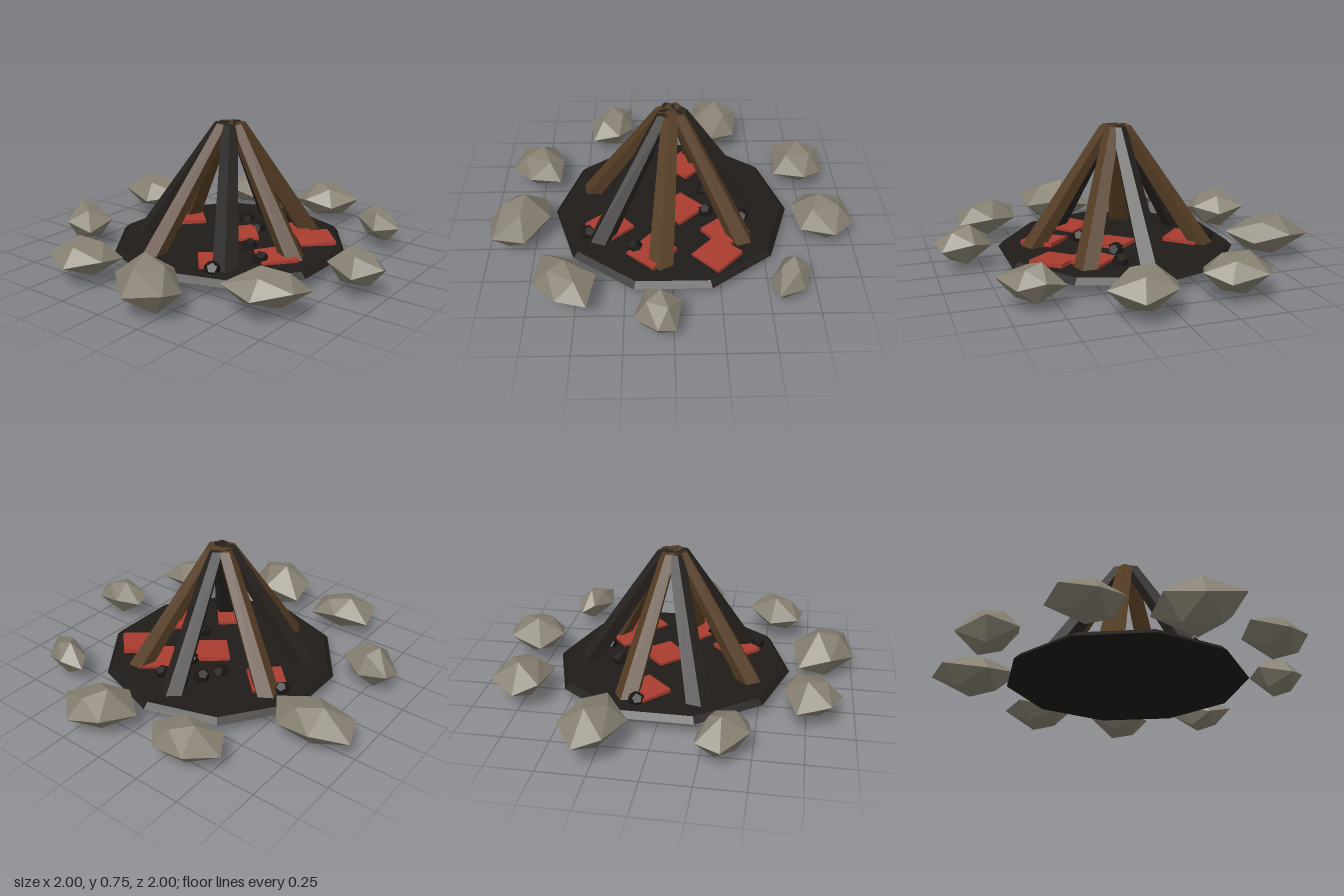
import * as THREE from 'three';
import { ConvexGeometry } from 'three/addons/geometries/ConvexGeometry.js';

const mat = (color) => new THREE.MeshStandardMaterial({ color, flatShading: true });
const stone = mat(0x857f70), ash = mat(0x1f1b18), brown = mat(0x553d24);
const charred = mat(0x25211e), ember = mat(0xaa3c30), coal = mat(0x191614);

function add(group, name, geometry, material) {
  const mesh = new THREE.Mesh(geometry, material);
  mesh.name = name;
  group.add(mesh);
  return mesh;
}

// Faceted stone: a six-point outline at its waist, three uneven corners above and three below
function stoneGeometry(y0, y1, outline) {
  const ring = [], c = new THREE.Vector3(), mid = (y0 + y1) / 2, h = (y1 - y0) / 2;
  for (let i = 0; i < 6; i++) {
    ring.push(new THREE.Vector3(outline[2 * i], mid + (i % 2 ? 0.22 : -0.12) * h, outline[2 * i + 1]));
    c.addScaledVector(ring[i], 1 / 6);
  }
  const caps = ring.map((p, i) => {
    const q = p.clone().lerp(c, i < 2 ? 0.75 : 0.5);
    q.y = mid + (i % 2 ? -1 : 1) * h * (i < 2 ? 1 : 0.75);
    return q;
  });
  return new ConvexGeometry([...ring, ...caps]);
}

// Five-sided tapered log, sheared so both ends stay level
function logGeometry(x, z) {
  const y0 = 0.09, y1 = 0.75, angle = Math.atan2(x - 0.02, z);
  const top = [0.02 + 0.04 * Math.sin(angle), 0.04 * Math.cos(angle)];
  const g = new THREE.CylinderGeometry(0.045, 0.07, y1 - y0, 5);
  g.rotateY(angle).translate(0, (y0 + y1) / 2, 0);
  const p = g.attributes.position;
  for (let i = 0; i < p.count; i++) {
    const t = (p.getY(i) - y0) / (y1 - y0);
    p.setX(i, p.getX(i) + x + (top[0] - x) * t);
    p.setZ(i, p.getZ(i) + z + (top[1] - z) * t);
  }
  g.computeVertexNormals();
  return g;
}

export function createModel() {
  const model = new THREE.Group();
  model.name = 'campfire';

  // Ash bed
  add(model, 'ashBed', new THREE.CylinderGeometry(0.62, 0.65, 0.03, 10), ash).position.set(0.02, 0.087, 0);

  // Ring of stones: bottom, top, outline as x, z pairs
  const stones = new THREE.Group();
  stones.name = 'stoneRing';
  model.add(stones);
  [
    [0.03, 0.24, [-0.56, -0.75, -0.45, -0.9, -0.26, -0.89, -0.16, -0.78, -0.24, -0.61, -0.49, -0.63]],
    [0.03, 0.25, [-0.04, -0.76, 0.03, -0.95, 0.21, -1, 0.35, -0.87, 0.26, -0.7, 0.1, -0.66]],
    [0.04, 0.24, [0.47, -0.65, 0.58, -0.7, 0.71, -0.66, 0.79, -0.52, 0.65, -0.49, 0.51, -0.58]],
    [0.04, 0.26, [-1, -0.32, -0.83, -0.43, -0.63, -0.4, -0.53, -0.25, -0.71, -0.11, -0.95, -0.18]],
    [0.04, 0.25, [0.7, 0.05, 0.8, -0.04, 0.97, -0.01, 1, 0.08, 0.89, 0.2, 0.72, 0.14]],
    [0.02, 0.25, [-0.9, 0.36, -0.89, 0.24, -0.73, 0.23, -0.59, 0.31, -0.6, 0.47, -0.76, 0.49]],
    [0.05, 0.25, [0.48, 0.52, 0.63, 0.39, 0.82, 0.43, 0.81, 0.58, 0.66, 0.71, 0.47, 0.68]],
    [0.04, 0.24, [-0.52, 0.7, -0.34, 0.63, -0.18, 0.64, -0.16, 0.81, -0.31, 0.93, -0.48, 0.87]],
    [0, 0.28, [-0.03, 0.7, 0.18, 0.66, 0.34, 0.79, 0.36, 0.95, 0.15, 1, -0.01, 0.87]],
  ].forEach(([y0, y1, outline]) => add(stones, 'stone', stoneGeometry(y0, y1, outline), stone));

  // Leaning logs, some charred
  const logs = new THREE.Group();
  logs.name = 'logs';
  model.add(logs);
  [
    [-0.02, -0.465, charred], [0.295, -0.375, brown], [0.475, 0.06, brown], [0.28, 0.385, charred],
    [-0.155, 0.445, brown], [-0.42, 0.195, charred], [-0.42, -0.175, brown],
  ].forEach(([x, z, m]) => add(logs, 'log', logGeometry(x, z), m));

  // Flat glowing embers: x, z, turn
  const embers = new THREE.Group();
  embers.name = 'embers';
  model.add(embers);
  [
    [0.245, -0.29, 0.7], [0.425, -0.235, 0.78], [-0.36, -0.09, 0.8],
    [0.4, 0.11, 0.85], [0.19, 0.34, 0.7], [0.05, -0.05, 0.75],
  ].forEach(([x, z, turn], i) => {
    const piece = add(embers, 'ember', new THREE.BoxGeometry(0.19, 0.022, 0.19), ember);
    piece.position.set(x, 0.11, z);
    piece.rotation.set(i % 2 ? 0.04 : -0.04, turn, 0.03);
  });

  // Loose coals
  const coals = new THREE.Group();
  coals.name = 'coals';
  model.add(coals);
  [
    [0.12, -0.385], [-0.12, -0.18], [-0.475, -0.115], [-0.07, -0.285],
    [0.365, 0.2], [0.25, 0.455], [0.08, -0.19], [0.21, 0.08],
  ].forEach(([x, z], i) => {
    const lump = add(coals, 'coal', new THREE.DodecahedronGeometry(0.044), coal);
    lump.position.set(x, 0.113, z);
    lump.rotation.set(i, i * 1.7, 0);
  });

  return model;
}
